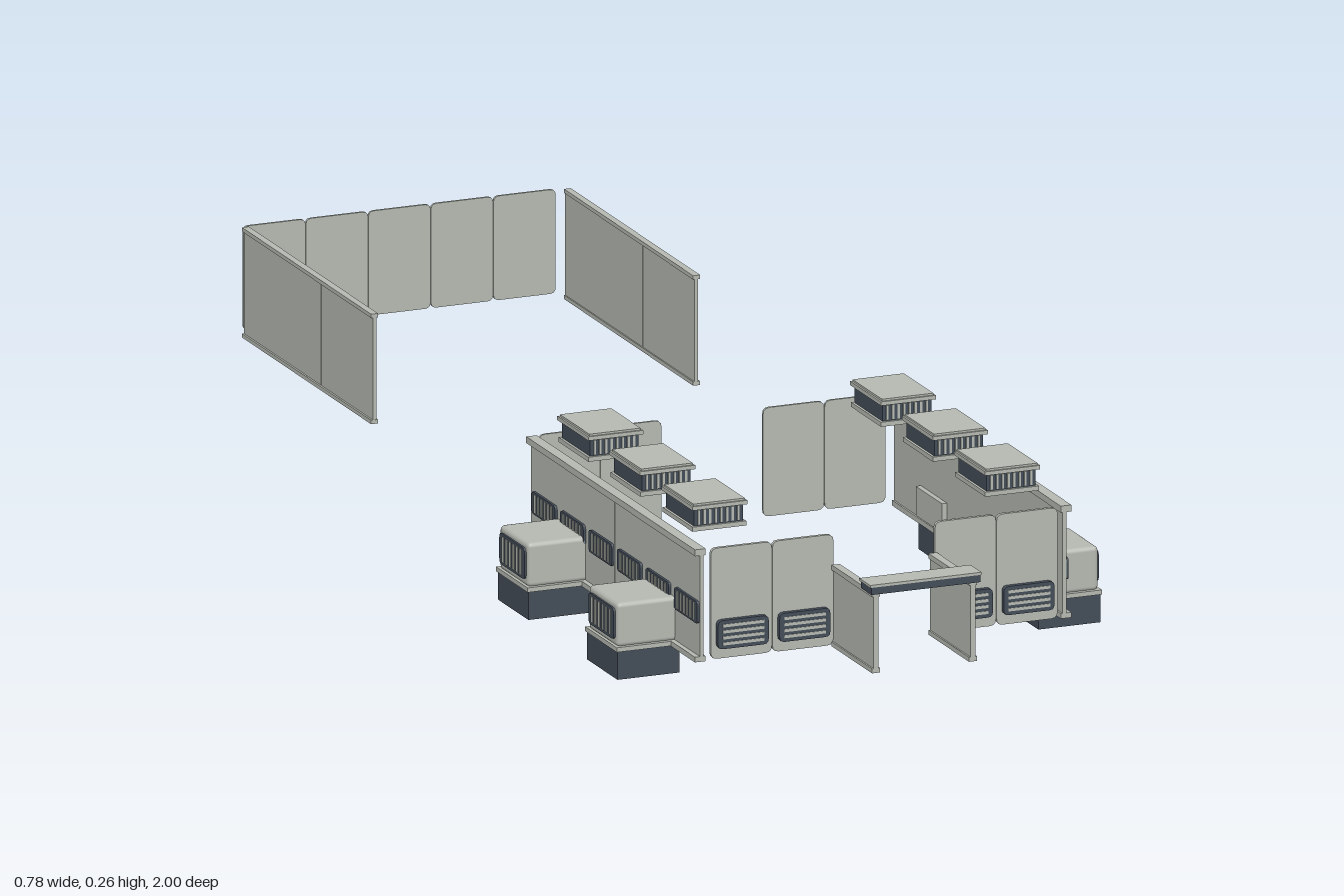
import * as THREE from 'three';
import { RoundedBoxGeometry } from 'three/addons/geometries/RoundedBoxGeometry.js';

const light = new THREE.MeshStandardMaterial({ color: 0xb4b8b0 });
light.name = 'pale grey panel';
const dark = new THREE.MeshStandardMaterial({ color: 0x434c58 });
dark.name = 'dark slate';

// Box given by its low and high corners
function box(parent, name, mat, x0, x1, y0, y1, z0, z1) {
  const m = new THREE.Mesh(new THREE.BoxGeometry(Math.abs(x1 - x0), y1 - y0, z1 - z0), mat);
  m.position.set((x0 + x1) / 2, (y0 + y1) / 2, (z0 + z1) / 2);
  m.name = name;
  parent.add(m);
  return m;
}

// Upright plate with cut corners, facing z
function plate(parent, name, mat, w, h, t, c) {
  const a = w / 2, b = h / 2, s = new THREE.Shape();
  s.moveTo(-a + c, -b);
  s.lineTo(a - c, -b);
  s.quadraticCurveTo(a, -b, a, -b + c);
  s.lineTo(a, b - c);
  s.quadraticCurveTo(a, b, a - c, b);
  s.lineTo(-a + c, b);
  s.quadraticCurveTo(-a, b, -a, b - c);
  s.lineTo(-a, -b + c);
  s.quadraticCurveTo(-a, -b, -a + c, -b);
  const g = new THREE.ExtrudeGeometry(s, { depth: t, bevelEnabled: false, curveSegments: 3 });
  g.translate(0, 0, -t / 2);
  const m = new THREE.Mesh(g, mat);
  m.name = name;
  parent.add(m);
  return m;
}

// Dark vent frame with pale slats on its +z face
function grille(name, w, h, t, count, vertical) {
  const g = new THREE.Group();
  g.name = name;
  plate(g, 'ventFrame', dark, w, h, t, Math.min(w, h) * 0.18);
  const long = (vertical ? h : w) * 0.82, span = (vertical ? w : h) * 0.84, step = span / count;
  for (let i = 0; i < count; i++) {
    const p = -span / 2 + (i + 0.5) * step, q = step * 0.25;
    if (vertical) box(g, 'slat', light, p - q, p + q, -long / 2, long / 2, t / 2 - 0.001, t / 2 + 0.001);
    else box(g, 'slat', light, -long / 2, long / 2, p - q, p + q, t / 2 - 0.001, t / 2 + 0.001);
  }
  return g;
}

// Roof ventilation unit with slatted ends
function roofUnit(parent, x, z) {
  const g = new THREE.Group();
  g.name = 'roofUnit';
  g.position.set(x, 0, z);
  parent.add(g);
  box(g, 'unitBase', light, -0.043, 0.043, 0.222, 0.229, -0.057, 0.057);
  box(g, 'unitCore', dark, -0.039, 0.039, 0.228, 0.256, -0.053, 0.053);
  box(g, 'unitLid', light, -0.044, 0.044, 0.255, 0.261, -0.059, 0.059);
  box(g, 'lidTop', light, -0.041, 0.041, 0.261, 0.264, -0.056, 0.056);
  for (const e of [-1, 1]) {
    for (let i = 0; i < 8; i++) {
      const p = -0.0315 + i * 0.009;
      box(g, 'unitSlat', light, p - 0.0018, p + 0.0018, 0.231, 0.253, e * 0.0535 - 0.001, e * 0.0535 + 0.001);
    }
  }
}

// Side pod on a dark footing
function pod(parent, s, z) {
  const g = new THREE.Group();
  g.name = 'sidePod';
  g.position.z = z;
  parent.add(g);
  box(g, 'podFooting', dark, s * 0.287, s * 0.386, 0, 0.044, -0.058, 0.058);
  box(g, 'podSill', light, s * 0.284, s * 0.388, 0.043, 0.05, -0.06, 0.06);
  const body = new THREE.Mesh(new RoundedBoxGeometry(0.098, 0.068, 0.11, 2, 0.007), light);
  body.position.set(s * 0.336, 0.082, 0);
  body.name = 'podBody';
  g.add(body);
  box(g, 'podInnerPlate', light, s * 0.279, s * 0.29, 0.055, 0.1, -0.05, 0.05);
  const vent = grille('podVent', 0.096, 0.048, 0.006, 6, true);
  vent.position.set(s * 0.385, 0.083, 0);
  vent.rotation.y = s * Math.PI / 2;
  g.add(vent);
}

export function createModel() {
  const model = new THREE.Group();
  model.name = 'modularBuilding';
  const front = new THREE.Group(), rear = new THREE.Group();
  front.name = 'frontSection';
  rear.name = 'rearSection';
  model.add(front, rear);

  for (const s of [-1, 1]) {
    // Long side wall with rails and a seam halfway
    box(front, 'sideWall', light, s * 0.287, s * 0.293, 0.046, 0.21, 0.198, 0.5145);
    box(front, 'sideWall', light, s * 0.287, s * 0.293, 0.046, 0.21, 0.5155, 0.838);
    box(front, 'topRail', light, s * 0.284, s * 0.301, 0.205, 0.215, 0.198, 0.838);
    box(front, 'bottomRail', light, s * 0.284, s * 0.301, 0.042, 0.05, 0.198, 0.838);

    // Row of wall vents
    for (let i = 0; i < 6; i++) {
      const v = grille('wallVent', 0.088, 0.034, 0.005, 6, true);
      v.position.set(s * 0.2945, 0.117, 0.253 + i * 0.108);
      v.rotation.y = s * Math.PI / 2;
      front.add(v);
    }
    for (const z of [0.35, 0.688]) pod(front, s, z);
    for (const z of [0.32, 0.517, 0.715]) roofUnit(front, s * 0.234, z);

    // Front and back end panels, with grilles on the front
    for (const x of [0.13, 0.2285]) {
      plate(front, 'frontPanel', light, 0.0975, 0.17, 0.006, 0.01).position.set(s * x, 0.13, 0.839);
      plate(front, 'backPanel', light, 0.0975, 0.167, 0.004, 0.01).position.set(s * x, 0.129, 0.188);
      const v = grille('frontVent', 0.081, 0.044, 0.01, 4, false);
      v.position.set(s * x, 0.083, 0.845);
      front.add(v);
    }

    // Entrance side walls
    box(front, 'entranceWall', light, s * 0.0735, s * 0.0815, 0.046, 0.168, 0.842, 0.995);
    box(front, 'entranceTopRail', light, s * 0.071, s * 0.084, 0.16, 0.168, 0.842, 0.995);
    box(front, 'entranceBottomRail', light, s * 0.071, s * 0.084, 0.043, 0.05, 0.842, 0.995);

    // Rear side walls, split into panels
    for (let i = 0; i < 5; i++) {
      const z = -0.97 + i * 0.098;
      box(rear, 'rearSidePanel', light, s * 0.254, s * 0.26, 0.047, 0.212, z, z + 0.0975);
    }
    box(rear, 'rearTopRail', light, s * 0.252, s * 0.263, 0.208, 0.214, -0.97, -0.48);
    box(rear, 'rearBottomRail', light, s * 0.252, s * 0.263, 0.045, 0.051, -0.97, -0.48);
  }

  // Entrance canopy
  box(front, 'canopyBeam', dark, -0.087, 0.087, 0.165, 0.176, 0.96, 1);
  box(front, 'canopyTop', light, -0.089, 0.089, 0.176, 0.18, 0.958, 1);

  // Rear end wall of five panels
  for (let i = -2; i <= 2; i++) {
    plate(rear, 'rearEndPanel', light, 0.0995, 0.16, 0.004, 0.009).position.set(i * 0.1, 0.127, -0.998);
  }
  return model;
}
